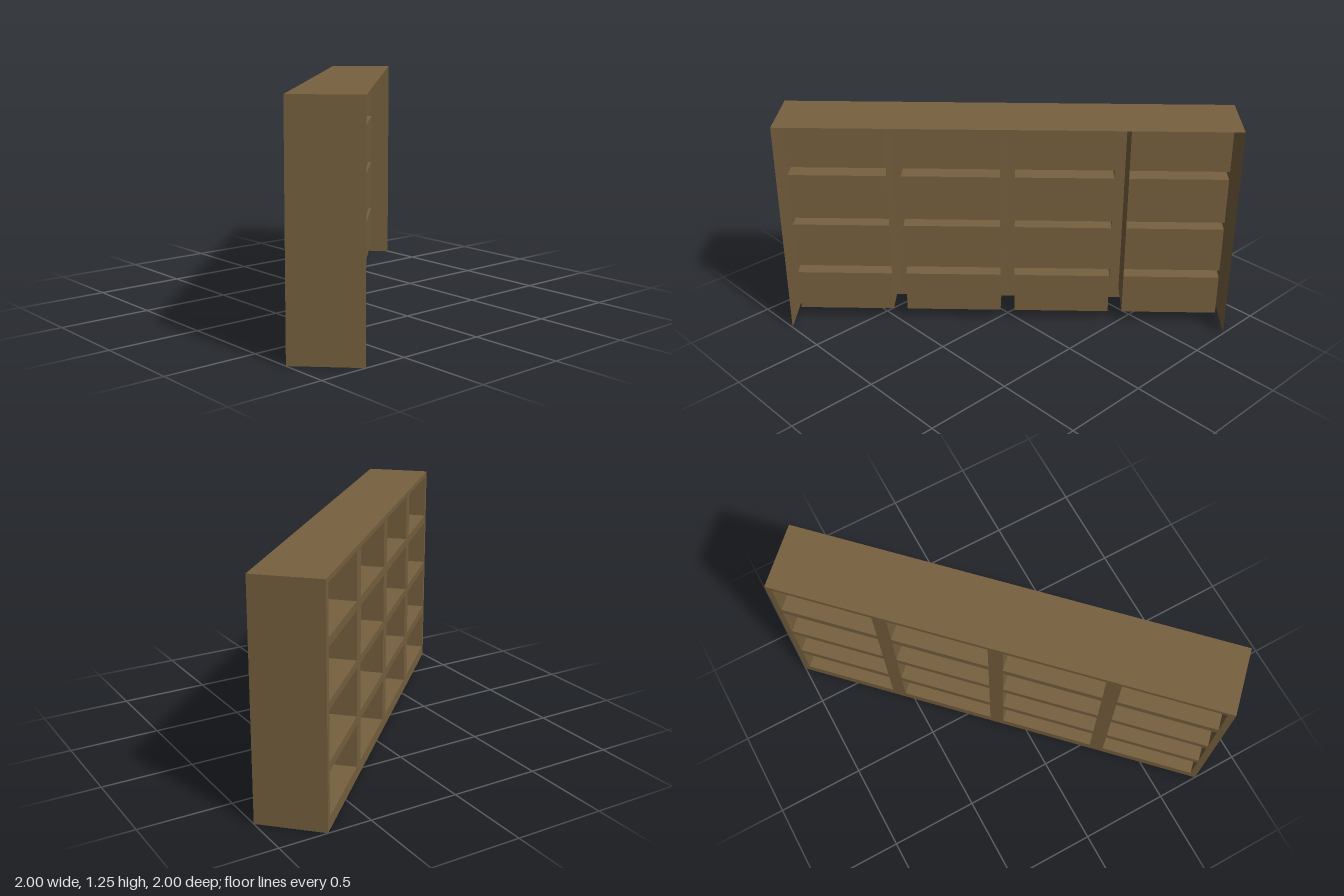
import * as THREE from 'three';

const LENGTH = 2.46, DEPTH = 0.368, HEIGHT = 1.247;
const CELL_W = 0.537, CELL_D = 0.257, PITCH = 0.6165;
const ROWS = [[0.067, 0.303], [0.351, 0.613], [0.656, 0.919], [0.967, 1.22]];

export function createModel() {
  const wood = new THREE.MeshStandardMaterial({ color: 0x77613f, side: THREE.DoubleSide });
  wood.name = 'brown wood';

  const model = new THREE.Group();
  model.name = 'shelfUnit';
  const unit = new THREE.Group();
  unit.name = 'cabinet';
  unit.rotation.y = -Math.PI / 4; // stands diagonally
  model.add(unit);

  // Thin flat board, turned about x or y
  function board(name, w, h, x, y, z, rx = 0, ry = 0) {
    const mesh = new THREE.Mesh(new THREE.PlaneGeometry(w, h), wood);
    mesh.name = name;
    mesh.position.set(x, y, z);
    mesh.rotation.set(rx, ry, 0);
    unit.add(mesh);
  }

  const columns = [-1.5, -0.5, 0.5, 1.5].map((i) => i * PITCH);
  const zFront = DEPTH / 2;
  const zMid = zFront - CELL_D / 2;
  const Q = Math.PI / 2;

  // Front frame with a grid of openings
  const frame = new THREE.Shape();
  frame.moveTo(-LENGTH / 2, 0);
  frame.lineTo(LENGTH / 2, 0);
  frame.lineTo(LENGTH / 2, HEIGHT);
  frame.lineTo(-LENGTH / 2, HEIGHT);
  frame.closePath();
  for (const x of columns) {
    for (const [y0, y1] of ROWS) {
      const hole = new THREE.Path();
      hole.moveTo(x - CELL_W / 2, y0);
      hole.lineTo(x - CELL_W / 2, y1);
      hole.lineTo(x + CELL_W / 2, y1);
      hole.lineTo(x + CELL_W / 2, y0);
      hole.closePath();
      frame.holes.push(hole);
    }
  }
  const front = new THREE.Mesh(new THREE.ShapeGeometry(frame), wood);
  front.name = 'frontFrame';
  front.position.z = zFront;
  unit.add(front);

  // Outer shell, open at the back and underneath
  board('topPanel', LENGTH, DEPTH, 0, HEIGHT, 0, -Q);
  for (const s of [-1, 1]) {
    board('endPanel', DEPTH, HEIGHT, s * LENGTH / 2, HEIGHT / 2, 0, 0, s * Q);
  }

  // Compartments: upright walls per column, then floor, ceiling and back per cell
  const yLow = ROWS[0][0], yHigh = ROWS[3][1];
  for (const x of columns) {
    for (const s of [-1, 1]) {
      board('upright', CELL_D, yHigh - yLow, x + s * CELL_W / 2, (yLow + yHigh) / 2, zMid, 0, s * Q);
    }
    for (const [y0, y1] of ROWS) {
      board('cellFloor', CELL_W, CELL_D, x, y0, zMid, -Q);
      board('cellCeiling', CELL_W, CELL_D, x, y1, zMid, Q);
      board('cellBack', CELL_W, y1 - y0, x, (y0 + y1) / 2, zFront - CELL_D);
    }
  }
  return model;
}
